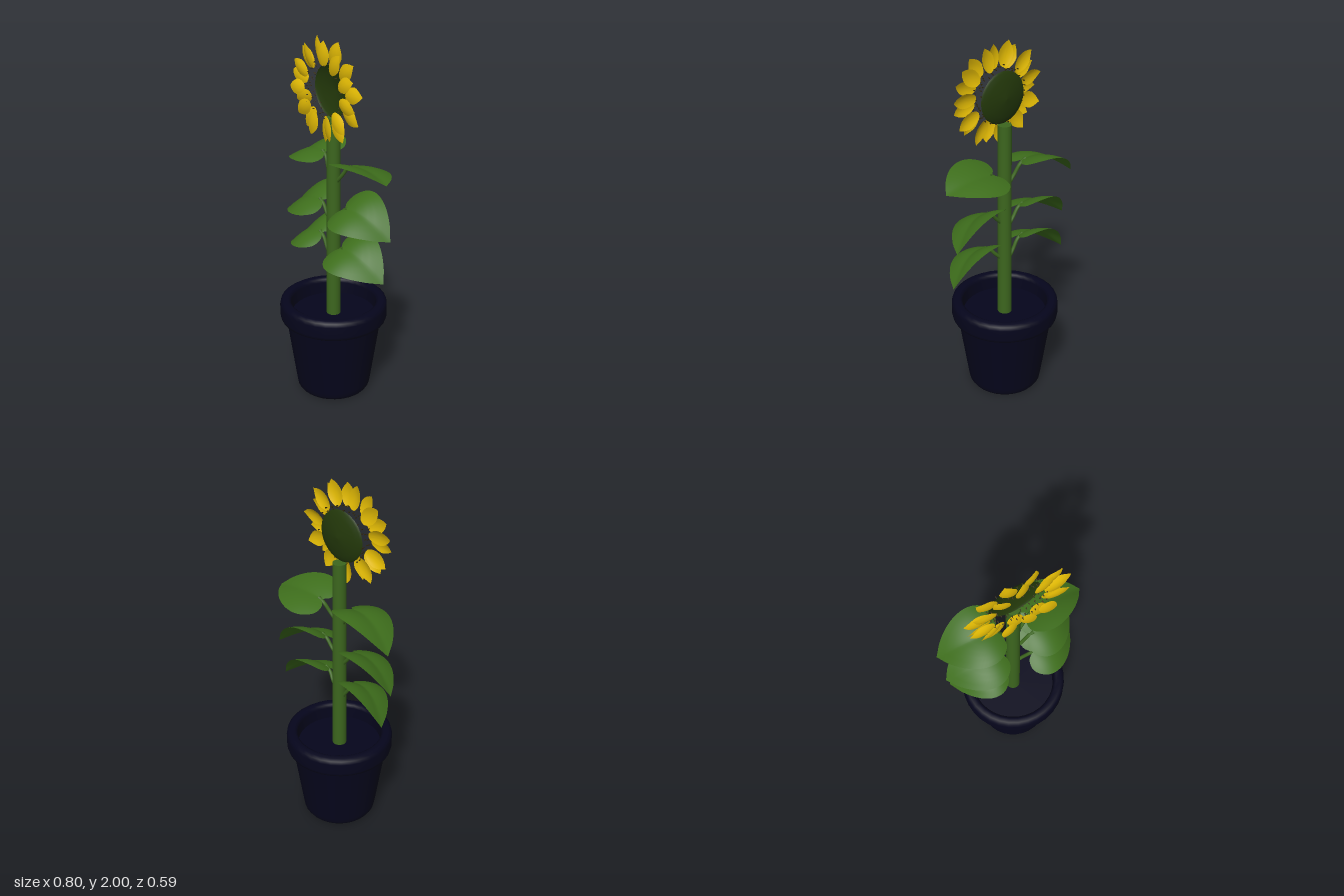
import * as THREE from 'three';

const mat = (name, color, side = THREE.FrontSide) => {
  const m = new THREE.MeshStandardMaterial({ color, side });
  m.name = name;
  return m;
};

// Symmetric leaf or petal: rings shrink from the outline towards its base at
// the origin. Outline points are [along, halfWidth]; height(x, z) bends it.
function blade(outline, rings, steps, height) {
  const half = new THREE.CatmullRomCurve3(
    outline.map(([x, z]) => new THREE.Vector3(x, 0, z))).getPoints(steps);
  const edge = [...half, ...half.slice(1, -1).reverse().map((p) => new THREE.Vector3(p.x, 0, -p.z))];
  const n = edge.length, pos = [], index = [];
  for (let r = 0; r <= rings; r++) {
    for (const p of edge) {
      const x = p.x * r / rings, z = p.z * r / rings;
      pos.push(x, height(x, z), z);
    }
  }
  for (let r = 0; r < rings; r++) {
    for (let i = 0; i < n; i++) {
      const a = r * n + i, b = r * n + (i + 1) % n;
      if (r > 0) index.push(a, a + n, b);
      index.push(b, a + n, b + n);
    }
  }
  const g = new THREE.BufferGeometry();
  g.setAttribute('position', new THREE.Float32BufferAttribute(pos, 3));
  g.setIndex(index);
  g.computeVertexNormals();
  return g;
}

export function createModel() {
  const model = new THREE.Group();
  const navy = mat('potNavy', 0x05051c);
  const stemGreen = mat('stemGreen', 0x3c661e);
  const leafGreen = mat('leafGreen', 0x3e6e1c, THREE.DoubleSide);
  const petalYellow = mat('petalYellow', 0xe4bc04, THREE.DoubleSide);
  const discGreen = mat('discGreen', 0x23380a, THREE.DoubleSide);
  const seedBrown = mat('seedBrown', 0x33290a);

  const add = (name, geometry, material, parent = model) => {
    const m = new THREE.Mesh(geometry, material);
    m.name = name;
    parent.add(m);
    return m;
  };
  const lathe = (pts, seg) =>
    new THREE.LatheGeometry(pts.map(([x, y]) => new THREE.Vector2(x, y)), seg);

  // Pot with rounded rim, and the soil inside
  add('pot', lathe([
    [0, 0], [0.175, 0], [0.175, 0], [0.19, 0.005], [0.202, 0.022], [0.207, 0.05],
    [0.262, 0.43], [0.262, 0.43], [0.28, 0.43], [0.29, 0.437], [0.295, 0.455],
    [0.295, 0.515], [0.29, 0.535], [0.275, 0.545], [0.25, 0.545], [0.238, 0.537],
    [0.234, 0.52], [0.23, 0.44],
  ], 32), navy);
  add('soil', new THREE.CylinderGeometry(0.232, 0.232, 0.02, 32).translate(0, 0.445, 0), navy);

  // Stem
  add('stem', new THREE.CylinderGeometry(0.036, 0.039, 1.14, 20).translate(0, 1.012, 0), stemGreen);

  // Heart-shaped leaves on curved stalks
  const heart = [[0, 0], [-0.035, 0.04], [-0.035, 0.1], [0.02, 0.15], [0.09, 0.158],
    [0.17, 0.128], [0.24, 0.068], [0.285, 0]];
  const leaves = [
    // side, stalk y, leaf y, z, tip drop, roll to the front, yaw, size
    [-1, 1.23, 1.36, -0.02, 0.14, 0.25, -0.08, 1.04],
    [-1, 0.98, 1.09, 0, 0.13, 0.42, 0.08, 1],
    [-1, 0.77, 0.90, 0, 0.15, 0.45, 0, 0.9],
    [1, 1.23, 1.34, -0.025, 0.02, -0.27, 0.02, 1.04],
    [1, 1.02, 1.11, 0, 0.14, 0.48, 0.06, 0.97],
    [1, 0.80, 0.89, 0.025, 0.14, 0.48, 0, 0.97],
  ];
  leaves.forEach(([side, y0, y1, z, drop, roll, yaw, size]) => {
    const leaf = new THREE.Group();
    leaf.name = side > 0 ? 'leftLeaf' : 'rightLeaf';
    model.add(leaf);
    const k = (drop + 0.07) / 0.081;
    const g = blade(heart, 7, 28, (x, w) =>
      0.25 * x - k * x * x + 0.22 * Math.sqrt(w * w + 0.0001) - 1.4 * w * w);
    if (side < 0) g.rotateY(Math.PI);
    g.scale(size, 1, 1).rotateY(yaw).rotateX(roll).translate(side * 0.105, y1, z);
    add('leafBlade', g, leafGreen, leaf);
    const path = new THREE.CatmullRomCurve3([
      new THREE.Vector3(side * 0.02, y0, 0),
      new THREE.Vector3(side * 0.06, y0 + (y1 - y0) * 0.45, z * 0.4),
      new THREE.Vector3(side * 0.09, y0 + (y1 - y0) * 0.85, z * 0.85),
      new THREE.Vector3(side * 0.125, y1 + 0.005, z),
    ]);
    add('leafStalk', new THREE.TubeGeometry(path, 12, 0.01, 8), stemGreen, leaf);
  });

  // Flower head facing the front
  const head = new THREE.Group();
  head.name = 'flowerHead';
  head.position.y = 1.73;
  model.add(head);

  // Shallow dished disc
  add('disc', lathe([[0, -0.018], [0.05, -0.013], [0.1, -0.002], [0.13, 0.008], [0.139, 0.016]], 28)
    .rotateX(Math.PI / 2).translate(0, -0.007, 0), discGreen, head);

  // Small seeds scattered around the rim of the disc
  const seedShape = new THREE.ConeGeometry(0.004, 0.014, 5).rotateX(Math.PI / 2);
  for (let i = 0; i < 90; i++) {
    const a = i * Math.PI / 45, r = 0.132 + (i * 5 % 7) * 0.004;
    const seed = add('seed', seedShape, seedBrown, head);
    seed.position.set(Math.cos(a) * r, Math.sin(a) * r, 0.018 + (i * 3 % 8) * 0.008);
  }

  // Two overlapping rings of cupped, slightly twisted petals
  const petalOutline = [[0, 0], [0.006, 0.018], [0.04, 0.038], [0.078, 0.041], [0.115, 0.023], [0.14, 0]];
  const petalShape = blade(petalOutline, 4, 14, (x, w) => 0.35 * x - 2.5 * x * x - 6 * w * w)
    .rotateX(Math.PI / 2);
  const count = 11;
  for (let layer = 0; layer < 2; layer++) {
    for (let i = 0; i < count; i++) {
      const a = (i + layer * 0.5) * 2 * Math.PI / count + 0.1;
      const petal = add(layer ? 'frontPetal' : 'backPetal', petalShape, petalYellow, head);
      const r = layer ? 0.14 : 0.15;
      petal.position.set(Math.cos(a) * r, Math.sin(a) * r * 0.92, (layer ? 0.07 : 0.04) + (i % 2) * 0.01);
      petal.rotation.set((i % 3 - 1) * 0.2, 0, a, 'ZYX');
      petal.scale.setScalar(layer ? 0.94 : 1);
    }
  }
  return model;
}
